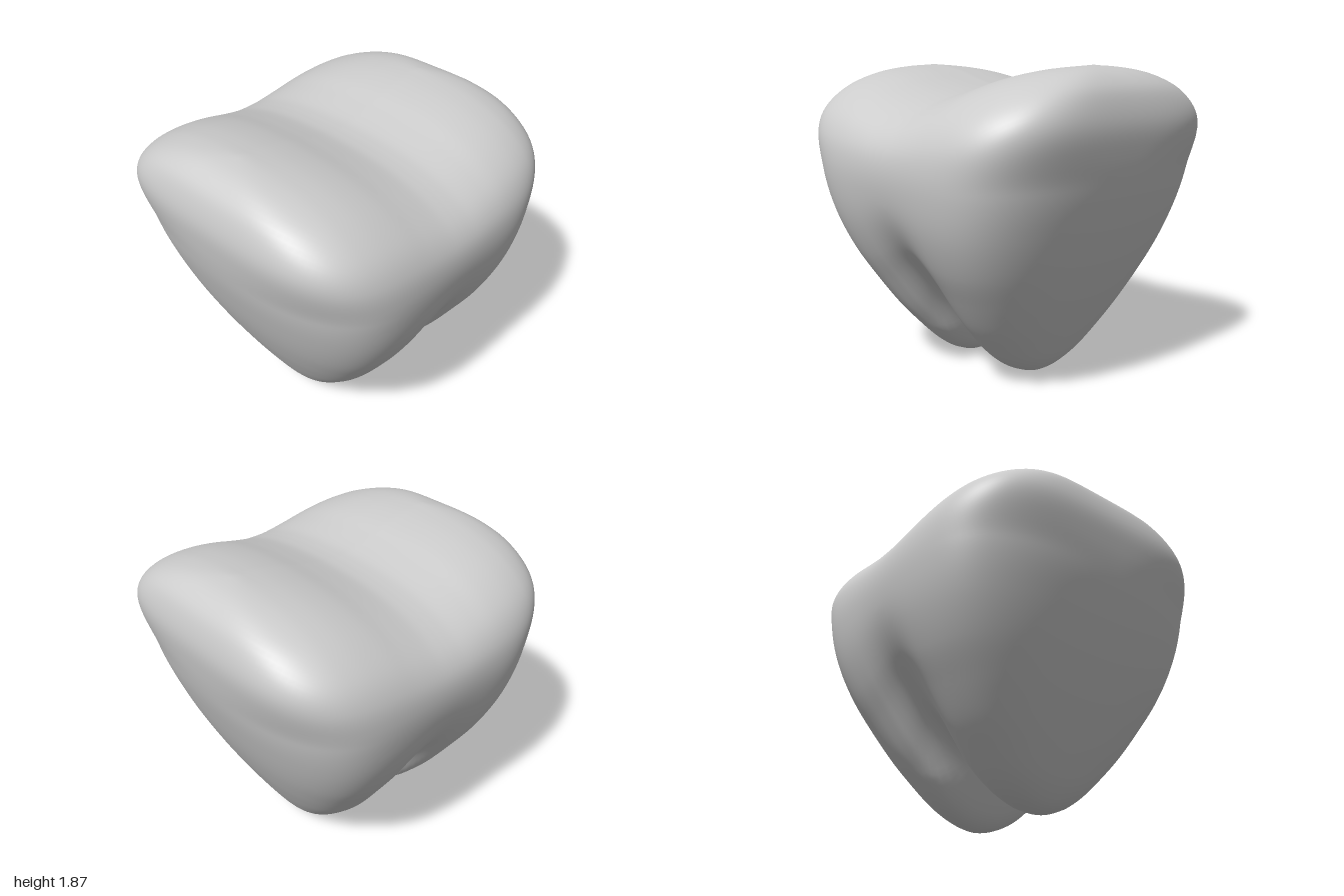
import * as THREE from 'three';
import { mergeVertices } from 'three/addons/utils/BufferGeometryUtils.js';

// Smooth lookup through [key, value] pairs with rising keys, clamped at both ends.
function profile(pairs) {
  const pts = new THREE.SplineCurve(pairs.map(([k, v]) => new THREE.Vector2(k, v))).getPoints(300);
  return (k) => {
    let lo = 0, hi = pts.length - 1;
    if (k <= pts[lo].x) return pts[lo].y;
    if (k >= pts[hi].x) return pts[hi].y;
    while (hi - lo > 1) {
      const mid = (lo + hi) >> 1;
      if (pts[mid].x <= k) lo = mid; else hi = mid;
    }
    const a = pts[lo], b = pts[hi];
    return a.y + (b.y - a.y) * (k - a.x) / Math.max(b.x - a.x, 1e-9);
  };
}

const TOP = 1.875, WAIST = 1.32;

// Half width by height
const halfWidth = profile([[0, 0], [0.005, 0.07], [0.02, 0.135], [0.07, 0.245], [0.15, 0.35], [0.27, 0.465],
  [0.4, 0.575], [0.575, 0.695], [0.76, 0.81], [0.955, 0.897], [1.14, 0.946], [1.32, 0.963], [1.48, 0.936],
  [1.62, 0.85], [1.74, 0.69], [1.82, 0.485], [1.86, 0.26], [TOP, 0]]);
// Half depth by height
const halfDepth = profile([[0, 0.29], [0.02, 0.34], [0.06, 0.392], [0.15, 0.467], [0.3, 0.558], [0.45, 0.64],
  [0.6, 0.716], [0.8, 0.805], [1, 0.88], [1.2, 0.943], [1.4, 0.985], [1.57, 1], [1.72, 0.965],
  [1.8, 0.905], [1.85, 0.82], [TOP, 0.7]]);
// Notch between the roots and saddle of the crown, by distance from the middle
const notch = profile([[0, 0.35], [0.025, 0.338], [0.053, 0.3], [0.086, 0.23], [0.118, 0.155], [0.16, 0.073],
  [0.225, 0.016], [0.29, 0]]);
const saddle = profile([[0, 1.74], [0.1, 1.747], [0.25, 1.785], [0.4, 1.83], [0.55, 1.86], [0.7, TOP]]);

function inside(x, y, z) {
  // Squeeze the outline vertically so it fits between notch and saddle
  let v;
  if (y < WAIST) {
    const low = notch(Math.abs(z + 0.015) / (1 + 1.2 * Math.max(0, y - 0.25)));
    v = y - low * ((WAIST - y) / (WAIST - low)) ** 1.5;
  } else {
    v = WAIST + (y - WAIST) * (TOP - WAIST) / (saddle(Math.abs(z)) - WAIST);
  }
  if (v <= 0 || v >= TOP) return false;
  // Plan with straight sides and bowed front and back, squarer towards the top
  const bow = 2.4 + 2.2 * THREE.MathUtils.smoothstep(y, 1.25, 1.7);
  return (Math.abs(x) / Math.max(halfWidth(v), 1e-4)) ** bow + (Math.abs(z) / halfDepth(y)) ** 5 < 1;
}

export function createModel() {
  const group = new THREE.Group();
  group.name = 'molar';

  // Sphere with its poles on the sides, each vertex pushed out to the surface
  let geo = new THREE.SphereGeometry(1, 240, 100).rotateZ(Math.PI / 2);
  geo.deleteAttribute('uv');
  geo.deleteAttribute('normal');
  geo = mergeVertices(geo, 1e-5);
  const pos = geo.attributes.position, dir = new THREE.Vector3(), centreY = 1.1;
  for (let i = 0; i < pos.count; i++) {
    dir.fromBufferAttribute(pos, i).normalize();
    let near = 0, far = 1.7;
    for (let k = 0; k < 26; k++) {
      const t = (near + far) / 2;
      if (inside(dir.x * t, centreY + dir.y * t, dir.z * t)) near = t; else far = t;
    }
    pos.setXYZ(i, dir.x * near, centreY + dir.y * near, dir.z * near);
  }
  geo.computeVertexNormals();

  const tooth = new THREE.Mesh(geo, new THREE.MeshStandardMaterial({ color: 0xcccccc }));
  tooth.name = 'crownAndRoots';
  group.add(tooth);
  return group;
}
